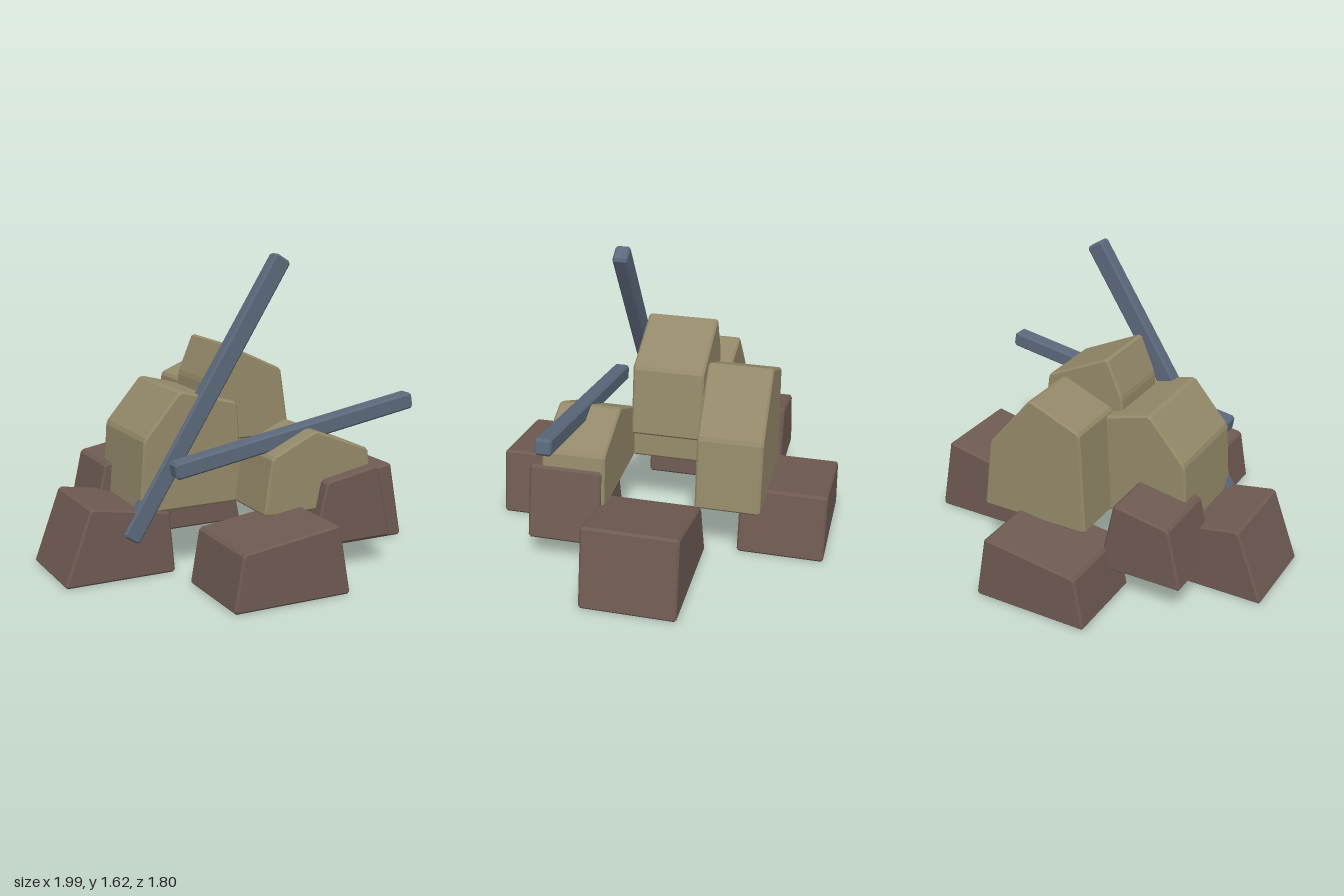
import * as THREE from 'three';

const BEVEL = 0.01;

// Outline (counter-clockwise) with every corner cut off slightly
function chamferedShape(points, cut) {
  const out = [];
  const n = points.length;
  for (let i = 0; i < n; i++) {
    const p = new THREE.Vector2(...points[i]);
    for (const j of [(i + n - 1) % n, (i + 1) % n]) {
      const dir = new THREE.Vector2(...points[j]).sub(p).normalize();
      out.push(p.clone().addScaledVector(dir, cut));
    }
  }
  return new THREE.Shape(out);
}

// Prism from z0 to z1 with bevelled edges that stay inside the outline
function prism(points, z0, z1) {
  const geometry = new THREE.ExtrudeGeometry(chamferedShape(points, 0.013), {
    depth: z1 - z0 - 2 * BEVEL,
    bevelEnabled: true,
    bevelThickness: BEVEL,
    bevelSize: BEVEL,
    bevelOffset: -BEVEL,
    bevelSegments: 1,
  });
  geometry.translate(0, 0, z0 + BEVEL);
  return geometry;
}

export function createModel() {
  const model = new THREE.Group();
  model.name = 'rockPile';
  const brown = new THREE.MeshStandardMaterial({ color: 0x6e5a52 });
  brown.name = 'brown stone';
  const tan = new THREE.MeshStandardMaterial({ color: 0x948969 });
  tan.name = 'tan stone';
  const steel = new THREE.MeshStandardMaterial({ color: 0x5b687b });
  steel.name = 'blue grey beam';

  const add = (name, material, points, z0, z1) => {
    const mesh = new THREE.Mesh(prism(points, z0, z1), material);
    mesh.name = name;
    model.add(mesh);
    return mesh;
  };
  const shift = (points, dx) => points.map(([x, y]) => [x + dx, y]);

  // Brown foundation stones on the ground
  const wide = [[-0.32, 0], [0.32, 0], [0.255, 0.36], [-0.27, 0.29]];
  add('frontBaseStone', brown, shift(wide, -0.09), 0.41, 0.9);
  add('backBaseStone', brown, wide, -0.9, -0.44);
  add('rightBaseStone', brown, [[-1, 0], [-0.4, 0], [-0.43, 0.325], [-0.855, 0.395]], -0.27, 0.22);
  add('leftBaseStone', brown, [[0.33, 0], [1, 0], [0.92, 0.43], [0.43, 0.325]], -0.27, 0.23);

  // Brown stones wedged above the ground
  const wedge = [[0.2, 0.15], [0.665, 0.15], [0.58, 0.54], [0.275, 0.485]];
  add('frontWedgeStone', brown, wedge, 0.22, 0.6);
  add('backWedgeStone', brown, wedge.map(([x, y]) => [x - 0.89, y + 0.015]), -0.58, -0.2);

  // Tan boulders stacked on top
  add('rightBoulder', tan,
    [[-0.59, 0.33], [0, 0.33], [-0.04, 0.86], [-0.365, 0.945], [-0.565, 0.71]], -0.31, 0.215);
  add('frontBoulder', tan,
    [[-0.055, 0.33], [0.6, 0.33], [0.555, 0.62], [0.24, 0.745], [-0.01, 0.63]], 0.205, 0.54);
  add('topBoulder', tan,
    [[-0.185, 0.64], [0.32, 0.64], [0.265, 1.0], [-0.085, 1.165], [-0.17, 0.96]], -0.24, 0.13);
  add('backBoulder', tan,
    [[-0.145, 0.33], [0.47, 0.33], [0.42, 0.715], [0.165, 1.02], [-0.12, 0.9]], -0.58, -0.24);

  // Leaning beams
  const addBeam = (name, length, width, depth, position, degrees) => {
    const l = length / 2, w = width / 2;
    const beam = add(name, steel, [[-l, -w], [l, -w], [l, w], [-l, w]], -depth / 2, depth / 2);
    beam.position.set(...position);
    beam.rotation.z = THREE.MathUtils.degToRad(degrees);
  };
  addBeam('tallBeam', 1.64, 0.1, 0.075, [-0.213, 0.9, 0.195], 58);
  addBeam('lowBeam', 1.41, 0.086, 0.085, [0.197, 0.711, 0.41], 9.6);

  return model;
}
